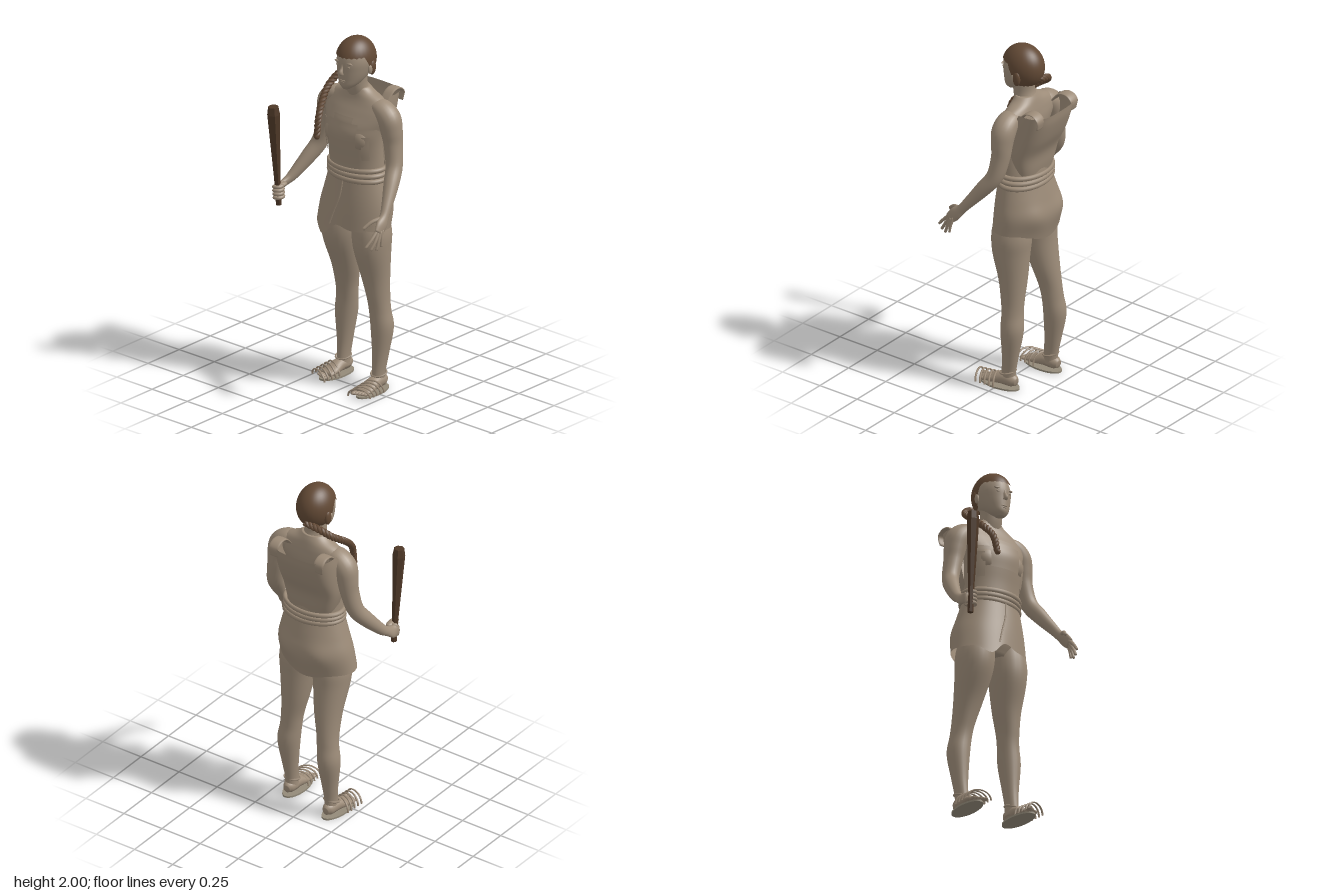
import * as THREE from 'three';

const mat = (name, color, side = THREE.FrontSide) => {
  const m = new THREE.MeshStandardMaterial({ color, side });
  m.name = name;
  return m;
};
const V = (x, y, z) => new THREE.Vector3(x, y, z);
const X = V(1, 0, 0), Y = V(0, 1, 0), Z = V(0, 0, 1);

// Smooth surface from fn(angle, v); optionally closed round and capped at both ends
function grid(nu, nv, fn, { from = 0, to = Math.PI * 2, cap = false } = {}) {
  const closed = to - from > 6.28, cols = closed ? nu : nu + 1;
  const pos = [], idx = [];
  for (let i = 0; i <= nv; i++)
    for (let j = 0; j < cols; j++) pos.push(...fn(from + (to - from) * j / nu, i / nv).toArray());
  for (let i = 0; i < nv; i++)
    for (let j = 0; j < nu; j++) {
      const a = i * cols + j, b = i * cols + (j + 1) % cols;
      idx.push(a, b, b + cols, a, b + cols, a + cols);
    }
  if (cap) [0, nv].forEach(row => {
    const c = V(0, 0, 0), start = row * cols, id = pos.length / 3;
    for (let j = 0; j < cols; j++) c.add(V(...pos.slice((start + j) * 3, (start + j) * 3 + 3)));
    pos.push(...c.divideScalar(cols).toArray());
    for (let j = 0; j < nu; j++) {
      const a = start + j, b = start + (j + 1) % cols;
      idx.push(...(row ? [a, b, id] : [b, a, id]));
    }
  });
  const g = new THREE.BufferGeometry();
  g.setAttribute('position', new THREE.Float32BufferAttribute(pos, 3));
  g.setIndex(idx);
  g.computeVertexNormals();
  return g;
}

// Elliptical rings [x, y, z, rx, rz]; level rings unless a reference direction is given
function loft(rings, { ref = null, nu = 24, steps = 5, warp = null, power = 1, ...opts } = {}) {
  const centre = new THREE.CatmullRomCurve3(rings.map(r => V(r[0], r[1], r[2])), false, 'catmullrom');
  const radii = new THREE.CatmullRomCurve3(rings.map(r => V(r[3], r[4], 0)), false, 'catmullrom');
  const bend = s => Math.sign(s) * Math.abs(s) ** power;
  return grid(nu, (rings.length - 1) * steps, (a, v) => {
    const t = ref ? centre.getTangent(v) : Y;
    const right = t.clone().cross(ref || Z).normalize(), out = right.clone().cross(t);
    const r = radii.getPoint(v);
    const p = centre.getPoint(v).addScaledVector(right, r.x * bend(Math.sin(a))).addScaledVector(out, r.y * bend(Math.cos(a)));
    if (warp) warp(p, a, v);
    return p;
  }, { cap: true, ...opts });
}
const tube = (pts, r, n = 24) =>
  new THREE.TubeGeometry(new THREE.CatmullRomCurve3(pts.map(p => V(...p))), n, r, 8);
const bump = (a, at, w) => {
  const d = Math.atan2(Math.sin(a - at), Math.cos(a - at)) / w;
  return Math.exp(-d * d);
};

export function createModel() {
  const skin = mat('skin', 0x9d8c79), cloth = mat('cloth', 0x9b8a77, THREE.DoubleSide);
  const hairMat = mat('hair', 0x624935), wood = mat('dark wood', 0x4f3928);
  const soleMat = mat('sandal sole', 0x938a79);
  const model = new THREE.Group();
  const add = (name, geo, m, parent = model) => {
    const mesh = new THREE.Mesh(geo, m);
    mesh.name = name;
    parent.add(mesh);
    return mesh;
  };
  const blob = (name, m, p, s) => {
    const mesh = add(name, new THREE.SphereGeometry(1, 20, 14), m);
    mesh.position.set(...p);
    mesh.scale.set(...s);
    return mesh;
  };

  // Torso and neck
  add('torso', loft([[0, .92, -.05, .12, .08], [0, 1, -.055, .185, .12], [0, 1.1, -.055, .18, .125], [0, 1.25, -.05, .16, .11],
    [0, 1.4, -.035, .163, .108], [0, 1.5, -.035, .182, .108], [0, 1.58, -.055, .215, .092], [0, 1.63, -.065, .21, .076],
    [0, 1.665, -.068, .165, .066], [0, 1.695, -.066, .1, .06], [0, 1.72, -.06, .066, .055]], { nu: 36 }), skin);
  add('neck', loft([[0, 1.63, -.07, .06, .05], [0, 1.69, -.058, .064, .06], [0, 1.74, -.045, .06, .058], [0, 1.8, -.045, .062, .06]]), skin);

  // Head and face
  add('head', loft([[0, 1.726, .036, .02, .02], [0, 1.75, .012, .05, .058], [0, 1.785, -.014, .073, .086], [0, 1.83, -.03, .088, .103],
    [0, 1.88, -.04, .095, .113], [0, 1.93, -.04, .082, .1], [0, 1.97, -.04, .052, .065], [0, 1.985, -.04, .02, .02]], { nu: 32 }), skin);
  add('nose', loft([[0, 1.885, .063, .007, .007], [0, 1.85, .072, .008, .01], [0, 1.827, .082, .012, .014], [0, 1.814, .074, .012, .009]],
    { ref: Z, nu: 14 }), skin);
  blob('upperLip', skin, [0, 1.78, .067], [.02, .005, .009]);
  blob('lowerLip', skin, [0, 1.77, .065], [.017, .006, .009]);
  for (const s of [-1, 1]) {
    blob('eye', skin, [s * .036, 1.86, .063], [.013, .005, .005]);
    blob('brow', skin, [s * .036, 1.88, .06], [.026, .007, .008]);
    blob('ear', skin, [s * .097, 1.835, -.045], [.01, .027, .016]);
    blob('earHair', hairMat, [s * .094, 1.84, -.065], [.015, .042, .024]);
  }

  // Close-cropped hair with a ragged edge
  add('hair', grid(96, 20, (a, v) => {
    const d = Math.abs(Math.atan2(Math.sin(a), Math.cos(a)));
    const edge = 1.26 + 1.05 * THREE.MathUtils.smoothstep(d, 1.2, 1.9) + .025 * Math.sin(24 * a);
    const th = edge * (1 - v) + .0001;
    return V(.101 * Math.sin(th) * Math.sin(a), 1.875 + .125 * Math.cos(th), -.04 + .122 * Math.sin(th) * Math.cos(a));
  }), hairMat);

  // Three-strand braid over the right shoulder
  const braid = new THREE.CatmullRomCurve3([V(0, 1.82, -.145), V(-.08, 1.8, -.135), V(-.14, 1.75, -.09), V(-.163, 1.69, -.01),
    V(-.143, 1.62, .07), V(-.12, 1.55, .125), V(-.11, 1.45, .15)]);
  const frames = braid.computeFrenetFrames(90);
  for (let k = 0; k < 3; k++) {
    const pts = frames.normals.map((n, i) => {
      const a = i * .55 + k * Math.PI * 2 / 3, r = .0105 * (1 - .25 * i / 90);
      return braid.getPointAt(i / 90).addScaledVector(n, r * Math.cos(a)).addScaledVector(frames.binormals[i], r * Math.sin(a));
    });
    add('braidStrand', new THREE.TubeGeometry(new THREE.CatmullRomCurve3(pts), 180, .011, 7), hairMat);
  }
  blob('braidTip', hairMat, [-.11, 1.45, .15], [.016, .017, .016]);

  // Arms, flowing out of the shoulder slope
  add('leftArm', loft([[.11, 1.635, -.065, .035, .05], [.165, 1.615, -.066, .056, .062], [.208, 1.572, -.068, .066, .066], [.226, 1.51, -.07, .06, .06],
    [.238, 1.43, -.07, .051, .052], [.262, 1.32, -.05, .046, .046], [.29, 1.24, .005, .041, .042], [.322, 1.15, .075, .029, .031],
    [.337, 1.1, .115, .023, .027], [.348, 1.065, .15, .019, .036], [.355, 1.03, .182, .012, .03]], { ref: Z }), skin);
  add('rightArm', loft([[-.11, 1.635, -.065, .035, .05], [-.165, 1.615, -.066, .056, .062], [-.208, 1.572, -.068, .066, .066], [-.226, 1.51, -.07, .06, .06],
    [-.24, 1.43, -.07, .051, .052], [-.268, 1.32, -.055, .046, .046], [-.3, 1.24, 0, .041, .042], [-.336, 1.15, .08, .029, .031],
    [-.35, 1.12, .12, .021, .027], [-.36, 1.1, .16, .015, .034], [-.362, 1.088, .2, .012, .03]], { ref: Z }), skin);
  const finger = (pts, r) => add('finger', loft(pts.map((p, i) => [...p, r * (1 - .15 * i), r * (1 - .15 * i)]), { ref: X, nu: 10 }), skin);
  finger([[.35, 1.045, .187], [.348, 1.005, .228], [.337, .965, .265]], .0105);
  finger([[.355, 1.04, .178], [.357, .99, .21], [.35, .947, .238]], .011);
  finger([[.358, 1.04, .168], [.363, .985, .19], [.362, .942, .206]], .0105);
  finger([[.359, 1.045, .155], [.367, .995, .167], [.368, .955, .174]], .0095);
  finger([[.34, 1.1, .13], [.312, 1.085, .185], [.287, 1.05, .23]], .0125);

  // Club with the right hand closed round its grip
  const club = new THREE.Group();
  club.name = 'club';
  club.position.set(-.335, 1.01, .2);
  club.rotation.set(.06, 0, .017);
  model.add(club);
  [[.016, .018, 0, .15], [.018, .035, .15, .53], [.037, .028, .53, .575]].forEach(([r0, r1, y0, y1], i) => {
    const c = new THREE.CylinderGeometry(r1, i === 2 ? .035 : r0, y1 - y0, 7).toNonIndexed();
    c.computeVertexNormals();
    add('clubShaft', c.translate(0, (y0 + y1) / 2, 0), wood, club);
  });
  for (let i = 0; i < 4; i++) {
    const f = add('grippingFinger', new THREE.TorusGeometry(.026, .0105, 8, 20, 4.5).rotateX(Math.PI / 2).rotateY(2.6), skin, club);
    f.position.y = .05 + i * .021;
  }
  blob('thumb', skin, [-.325, 1.125, .185], [.02, .013, .032]);

  // Chest wrap with stepped bib and side patches
  add('chestWrap', loft([[0, 1.22, -.05, .167, .116], [0, 1.32, -.043, .166, .115], [0, 1.4, -.033, .17, .115],
    [0, 1.47, -.028, .178, .117], [0, 1.52, -.035, .186, .113]], { nu: 40, cap: false }), cloth);
  add('bib', loft([[0, 1.48, -.028, .183, .12], [0, 1.54, -.036, .195, .112], [0, 1.575, -.045, .21, .106]],
    { from: -.32, to: .32, nu: 12, cap: false }), cloth);
  add('bibBase', loft([[0, 1.4, -.03, .174, .119], [0, 1.48, -.028, .183, .122], [0, 1.545, -.037, .194, .113]],
    { from: -.55, to: .55, nu: 16, cap: false }), cloth);
  for (const s of [-1, 1]) {
    blob('bust', cloth, [s * .08, 1.455, .026], [.07, .072, .052]);
    add('sidePatch', loft([[0, 1.34, -.04, .172, .121], [0, 1.4, -.032, .177, .123], [0, 1.48, -.028, .184, .124]],
      { from: s * .9 - .15, to: s * .9 + .15, nu: 8, cap: false }), cloth);
  }

  // Wrapped skirt with an uneven hem, fuller over the seat
  const hem = a => .015 * Math.sin(a) - .045 * bump(a, Math.PI, .6) - .045 * bump(a, -.42, .25) + .03 * bump(a, 0, .25);
  add('skirt', loft([[-.018, .925, -.045, .231, .142], [-.012, 1.03, -.06, .222, .151], [-.005, 1.12, -.057, .199, .14], [0, 1.23, -.05, .168, .12]],
    { nu: 64, cap: false, steps: 6, warp: (p, a, v) => {
      p.y += hem(a) * (1 - v) ** 2;
      p.z += .02 * bump(a, -.42, .4) * (1 - v) ** 2;
      p.z -= .014 * (bump(a, Math.PI - .5, .4) + bump(a, Math.PI + .5, .4)) * bump(v, .38, .25);
    } }), cloth);
  add('skirtFold', tube([[.005, 1.21, .072], [-.005, 1.12, .084], [-.035, 1.03, .096], [-.06, .95, .107]], .005), cloth);
  add('loincloth', new THREE.BoxGeometry(.045, .13, .008).translate(0, .92, -.06), cloth);

  // Rope belt
  for (let i = 0; i < 3; i++) {
    const rope = add('beltRope', new THREE.TorusGeometry(1, .078, 10, 64).rotateX(Math.PI / 2), cloth);
    rope.scale.set(.173, .18, .125);
    rope.position.set(0, 1.215 + i * .028, -.055);
    rope.rotation.z = .02 * (i - 1);
  }

  // Cloth pouch on the back, open at the top, with straps folding over the shoulders
  add('backPouch', loft([[-.005, 1.24, -.06, .125, .09], [-.01, 1.31, -.06, .15, .104], [-.015, 1.4, -.06, .172, .12], [-.018, 1.5, -.07, .178, .158],
    [-.02, 1.6, -.09, .18, .172], [-.02, 1.665, -.13, .178, .142]],
  { from: Math.PI / 2, to: Math.PI * 1.5, nu: 36, cap: false, power: .58 }), cloth);
  for (const x of [-.166, .128])
    add('shoulderStrap', loft([[x, 1.6, -.1], [x, 1.655, -.14], [x, 1.685, -.175], [x, 1.688, -.22], [x, 1.66, -.252], [x, 1.61, -.246]]
      .map((p, i) => [...p, .005, i === 5 ? .024 : .031]), { ref: X, nu: 12, power: .7 }), cloth);

  // Legs, feet and sandals; the right leg stands further back
  for (const s of [1, -1]) {
    const side = s > 0 ? 'left' : 'right', back = s > 0 ? 0 : -.055;
    const leg = [[.1, 1, -.045, .09, .1], [.108, .9, -.045, .105, .112], [.112, .8, -.045, .098, .105], [.119, .65, -.062, .078, .08], [.132, .53, -.07, .062, .066],
      [.14, .45, -.075, .06, .06], [.151, .35, -.08, .062, .063], [.15, .2, -.068, .043, .048], [.148, .1, -.056, .033, .042], [.148, .035, -.053, .036, .047]];
    add(side + 'Leg', loft(leg.reverse().map(([x, y, z, a, b]) =>
      [s * x, y, z + back * THREE.MathUtils.smoothstep(.95 - y, 0, .55), a, b])), skin);

    const foot = new THREE.Group();
    foot.name = side + 'Foot';
    foot.position.set(s * .15, 0, -.05 + back);
    foot.rotation.y = s * .04;
    model.add(foot);
    add('foot', loft([[0, .045, -.058, .018, .022], [0, .05, -.03, .034, .036], [0, .05, .03, .038, .036], [0, .036, .09, .046, .024], [0, .026, .135, .042, .014]],
      { ref: Y }), skin, foot);
    for (let i = 0; i < 5; i++) {
      const toe = add('toe', new THREE.SphereGeometry(1, 10, 8), skin, foot);
      toe.scale.set(i ? .009 : .013, .01, .024);
      toe.position.set(s * (-.032 + i * .0165), .024, .162 - i * .006);
    }
    const sole = add('sole', new THREE.CylinderGeometry(1, 1, .01, 32), soleMat, foot);
    sole.scale.set(.056, 1, .122);
    sole.position.set(0, .005, .05);
    for (let i = 0; i < 5; i++) {
      const strap = add('footStrap', new THREE.TorusGeometry(.064, .0055, 6, 20, Math.PI), cloth, foot);
      strap.scale.y = .95 - i * .05;
      strap.position.set(s * .012, .014, .06 + i * .029);
      strap.rotation.set(.1, s * .28, 0);
    }
    const ankle = add('ankleStrap', new THREE.TorusGeometry(.042, .005, 6, 24).rotateX(Math.PI / 2), cloth, foot);
    ankle.position.set(0, .095, -.003);
    ankle.rotation.x = .25;
  }
  return model;
}
